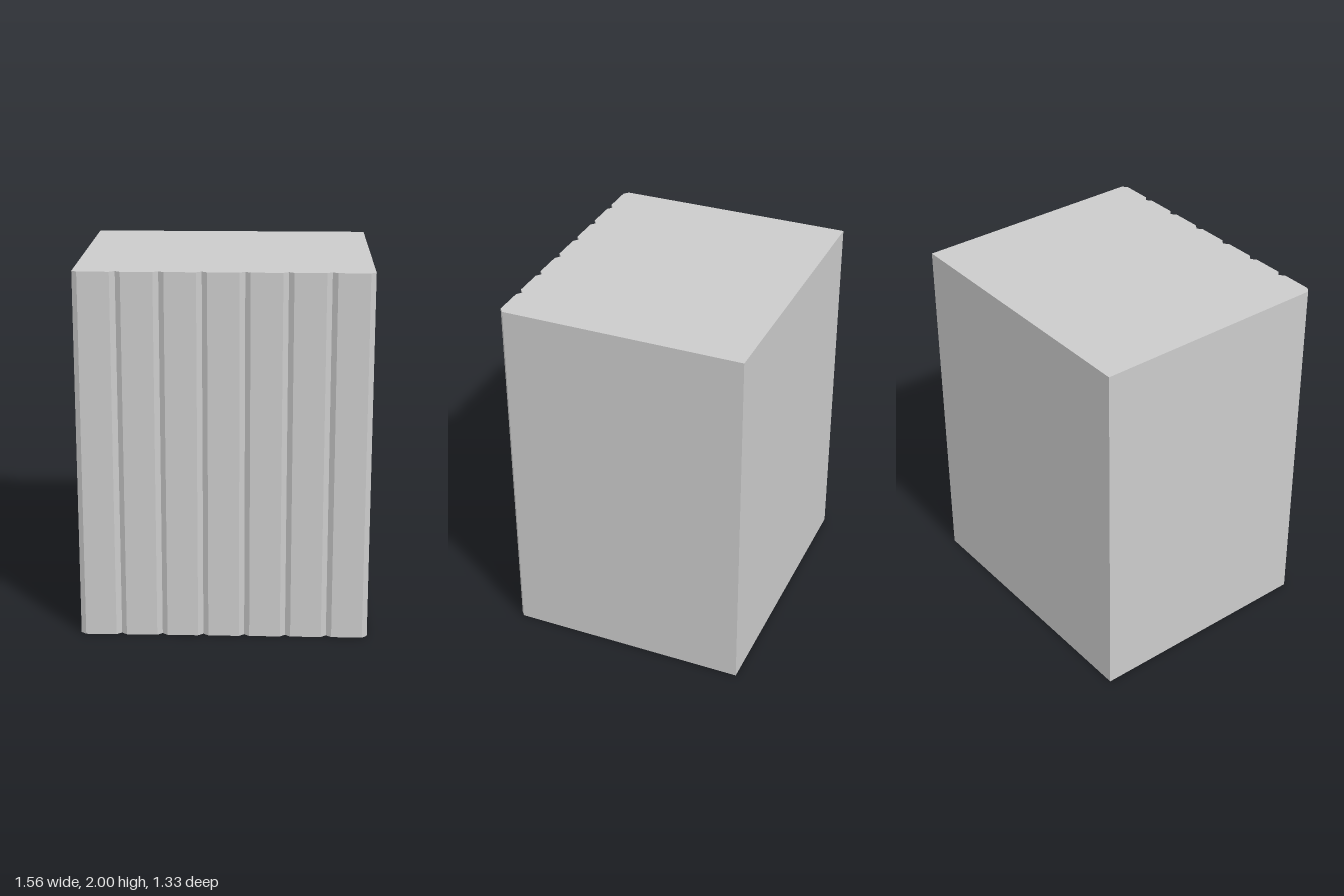
import * as THREE from 'three';

const HEIGHT = 2, HALF_DEPTH = 0.667;
const BOARDS = 7, BOARD_WIDTH = 1.556 / BOARDS;
const BEVEL_X = 0.028, BEVEL_Z = 0.023;

export function createModel() {
  const group = new THREE.Group();
  const half = (BOARDS * BOARD_WIDTH) / 2;

  // Plan outline: flat back and sides, V-grooves between the front boards
  // (shape y is -z, so the front edge lies at negative y)
  const plan = new THREE.Shape();
  plan.moveTo(half, HALF_DEPTH);
  plan.lineTo(-half, HALF_DEPTH);
  plan.lineTo(-half, -HALF_DEPTH + BEVEL_Z);
  for (let i = 0; i < BOARDS; i++) {
    const x0 = -half + i * BOARD_WIDTH;
    const x1 = x0 + BOARD_WIDTH;
    plan.lineTo(x0 + BEVEL_X, -HALF_DEPTH);
    plan.lineTo(x1 - BEVEL_X, -HALF_DEPTH);
    plan.lineTo(x1, -HALF_DEPTH + BEVEL_Z);
  }
  plan.closePath();

  // Solid block raised from the plan
  const geometry = new THREE.ExtrudeGeometry(plan, { depth: HEIGHT, bevelEnabled: false });
  geometry.rotateX(-Math.PI / 2);

  const block = new THREE.Mesh(
    geometry,
    new THREE.MeshStandardMaterial({ color: 0xcccccc, flatShading: true })
  );
  block.name = 'groovedBlock';
  group.add(block);
  return group;
}
